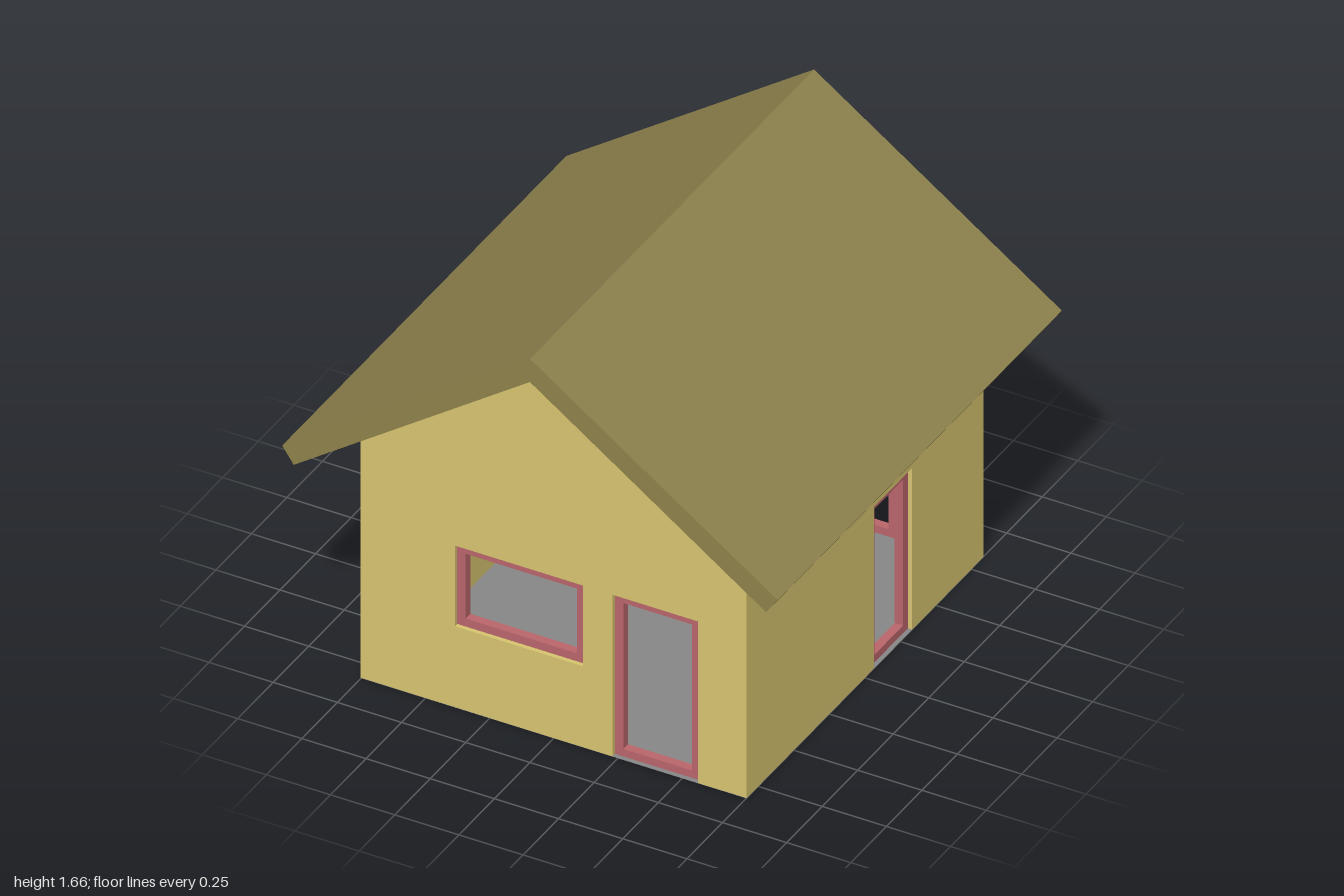
import * as THREE from 'three';

const W = 0.752, D = 0.833, T = 0.066;        // half width, half depth, wall thickness
const FRAME = 0.033;                          // frame width and depth
const APEX = 1.57, EAVE = 1.043, BASE = 0.001;

const mat = (color) => new THREE.MeshStandardMaterial({ color, flatShading: true });

function polygon(points) {
  return new THREE.Shape(points.map(([x, y]) => new THREE.Vector2(x, y)));
}

function rectangle(x0, x1, y0, y1) {
  return [[x0, y0], [x1, y0], [x1, y1], [x0, y1]];
}

// Extrusion centred on its own depth
function slab(shape, depth, material, name) {
  const geo = new THREE.ExtrudeGeometry(shape, { depth, bevelEnabled: false });
  geo.translate(0, 0, -depth / 2);
  const mesh = new THREE.Mesh(geo, material);
  mesh.name = name;
  return mesh;
}

// Wall with door notches, window holes and a frame set into each opening
function wall(name, halfLength, top, openings, wallMat, frameMat) {
  const group = new THREE.Group();
  group.name = name;
  const outline = [[-halfLength, BASE]];
  for (const { x0, x1, y0, y1 } of openings) {
    if (y0 === 0) outline.push([x0, BASE], [x0, y1], [x1, y1], [x1, BASE]);
  }
  outline.push([halfLength, BASE], ...top);
  const shape = polygon(outline);
  for (const { x0, x1, y0, y1, label } of openings) {
    if (y0 > 0) shape.holes.push(polygon(rectangle(x0, x1, y0, y1).reverse()));
    const frame = polygon(rectangle(x0, x1, Math.max(y0, BASE), y1));
    frame.holes.push(polygon(
      rectangle(x0 + FRAME, x1 - FRAME, y0 + FRAME, y1 - FRAME).reverse()));
    group.add(slab(frame, FRAME, frameMat, label));
  }
  group.add(slab(shape, T, wallMat, name + 'Panel'));
  return group;
}

export function createModel() {
  const house = new THREE.Group();
  house.name = 'house';
  const wallMat = mat(0xd8c570), roofMat = mat(0x8e824c);
  const frameMat = mat(0xbb666c), floorMat = mat(0x888888);

  // Gable walls
  const gable = [[W, EAVE], [0, APEX], [-W, EAVE]];
  const front = wall('frontWall', W, gable, [
    { x0: -0.385, x1: 0.115, y0: 0.335, y1: 0.668, label: 'frontWindowFrame' },
    { x0: 0.23, x1: 0.563, y0: 0, y1: 0.668, label: 'frontDoorFrame' },
  ], wallMat, frameMat);
  front.position.z = D - T / 2;
  const back = wall('backWall', W, gable, [
    { x0: -0.358, x1: 0.443, y0: 0, y1: 0.668, label: 'backDoorFrame' },
  ], wallMat, frameMat);
  back.position.z = -(D - T / 2);

  // Side walls: tops run up into the roof; local x points to -z
  const L = D - T, sideTop = [[L, 1.088], [-L, 1.088]];
  const left = wall('leftWall', L, sideTop, [
    { x0: 0.063, x1: 0.331, y0: 0, y1: 0.668, label: 'leftDoorFrame' },
  ], wallMat, frameMat);
  const right = wall('rightWall', L, sideTop, [
    { x0: 0.24, x1: 0.508, y0: 0, y1: 0.668, label: 'rightDoorFrame' },
  ], wallMat, frameMat);
  left.rotation.y = right.rotation.y = Math.PI / 2;
  left.position.x = W - T / 2;
  right.position.x = -(W - T / 2);

  // Pitched roof with overhanging eaves
  const roof = slab(polygon([
    [0, 1.665], [-0.965, 0.989], [-0.92, 0.924],
    [0, APEX], [0.92, 0.924], [0.965, 0.989],
  ]), 2, roofMat, 'roof');

  // Thin floor
  const floor = new THREE.Mesh(new THREE.BoxGeometry(2 * W, 0.002, 2 * D), floorMat);
  floor.name = 'floor';
  floor.position.y = 0.001;

  house.add(front, back, left, right, roof, floor);
  return house;
}
